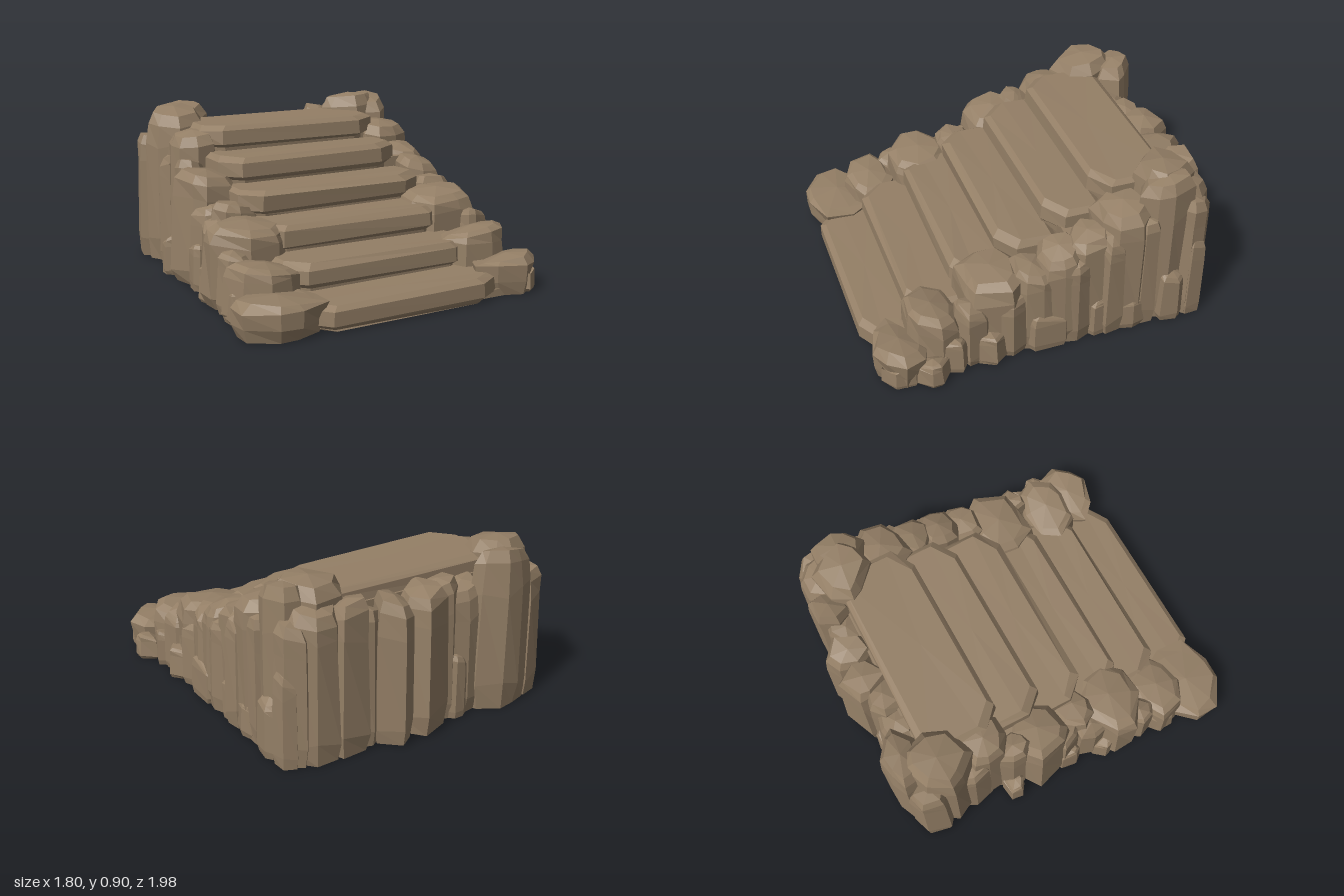
import * as THREE from 'three';

const stone = new THREE.MeshStandardMaterial({ color: 0x947f66, flatShading: true });
stone.name = 'brown stone';

let seed = 7;
const rnd = () => {
  seed = (seed * 16807) % 2147483647;
  return seed / 2147483647 * 2 - 1;
};
const clamp = THREE.MathUtils.clamp;

// Closed solid from equal-length rings of [x, y, z], bottom to top, going clockwise seen from above
function loft(name, rings, lift = 0) {
  const n = rings[0].length, pos = [];
  const tri = (a, b, c) => pos.push(...a, ...b, ...c);
  const centre = ring => [0, 1, 2].map(k => ring.reduce((s, p) => s + p[k], 0) / n);
  const last = rings[rings.length - 1];
  const bottom = centre(rings[0]), top = centre(last);
  top[1] += lift;
  for (let i = 0; i < n; i++) {
    const j = (i + 1) % n;
    for (let r = 0; r < rings.length - 1; r++) {
      const [a, b, c, d] = [rings[r][i], rings[r][j], rings[r + 1][j], rings[r + 1][i]];
      tri(a, c, b);
      tri(a, d, c);
    }
    tri(rings[0][i], rings[0][j], bottom);
    tri(last[j], last[i], top);
  }
  const g = new THREE.BufferGeometry();
  g.setAttribute('position', new THREE.Float32BufferAttribute(pos, 3));
  g.computeVertexNormals();
  const mesh = new THREE.Mesh(g, stone);
  mesh.name = name;
  return mesh;
}

// [height fraction, radius scale] rings: tall rocks flare at the foot, boulders bulge near the top
const columnProfile = [[0, 0.93], [0.14, 1.06], [0.76, 0.98], [0.93, 0.92], [1, 0.7]];
const boulderProfile = [[0, 0.82], [0.35, 0.94], [0.8, 1.04], [1, 0.78]];

// Irregular standing rock with an uneven outline and a chipped, slightly tilted top
function rock(name, profile, sides, [x, z, rx, rz, h]) {
  const turn = rnd() * 3, tiltX = rnd() * 0.025, tiltZ = rnd() * 0.025;
  const outline = Array.from({ length: sides }, (_, i) => ({
    a: turn + (i + rnd() * 0.28) / sides * Math.PI * 2,
    r: 1.02 + rnd() * 0.13,
  }));
  const rings = profile.map(([t, s]) => outline.map(({ a, r }) => {
    const q = r * s * (1 + rnd() * 0.06), c = Math.cos(a), d = Math.sin(a);
    const drop = t > 0.9 ? c * tiltX + d * tiltZ - 0.015 : rnd() * 0.04 * h;
    return [clamp(x + c * rx * q, -0.905, 0.9), t ? h * t + drop : 0, clamp(z + d * rz * q, -0.995, 0.995)];
  }));
  return loft(name, rings, 0.018);
}

// Worn tread with clipped corners and chamfered edges
function tread(front, back, bottom, top) {
  const outline = [[-0.46, front], [-0.56, front - 0.1], [-0.56, back], [0.57, back], [0.57, front - 0.1], [0.44, front - 0.015]];
  const levels = [[bottom, 0.03], [top - 0.12, 0.025], [top - 0.1, 0.003], [top - 0.025, 0.006], [top, 0.035]];
  const mid = (front + back) / 2;
  return loft('step', levels.map(([y, inset]) => outline.map(([x, z]) => [
    x - Math.sign(x) * inset,
    y === 0 ? 0 : y + rnd() * 0.005,
    z - Math.sign(z - mid) * (inset + rnd() * 0.006),
  ])));
}

function block(name, x, z, w, d, h) {
  const m = new THREE.Mesh(new THREE.BoxGeometry(w, h, d), stone);
  m.position.set(x, h / 2, z);
  m.name = name;
  return m;
}

export function createModel() {
  const model = new THREE.Group();
  model.name = 'rockStaircase';

  // Six steps; the upper ones are slabs above a hollow
  const fronts = [0.975, 0.72, 0.465, 0.22, -0.035, -0.29];
  fronts.forEach((f, i) => {
    const top = 0.13 + i * 0.1345;
    const back = i === 5 ? -0.735 : fronts[i + 1] - 0.08;
    model.add(tread(f, back, i < 2 ? 0 : top - 0.19, top));
    // Side walls under the step ends
    const depth = i === 5 ? 0.38 : 0.25;
    for (const s of [-1, 1]) {
      model.add(block('sideWall', s * 0.54, f - 0.09 - depth / 2, 0.18, depth, top - 0.09));
    }
  });
  model.add(block('backWall', 0, -0.65, 1.1, 0.19, 0.72));

  // Low boulders at the foot of the stairs: x, z, radius x, radius z, height
  const boulders = [
    [-0.68, 0.82, 0.225, 0.17, 0.185], [0.68, 0.8, 0.18, 0.13, 0.2],
  ];
  boulders.forEach(p => model.add(rock('footBoulder', boulderProfile, 9, p)));

  // Rocks flanking the stairs
  const flank = [
    // model's right side, front to back
    [-0.65, 0.62, 0.19, 0.15, 0.29], [-0.6, 0.33, 0.21, 0.17, 0.43],
    [-0.57, 0.11, 0.14, 0.11, 0.48], [-0.62, -0.14, 0.18, 0.17, 0.61], [-0.58, -0.43, 0.15, 0.14, 0.78],
    [-0.59, -0.69, 0.175, 0.17, 0.88], [-0.49, -0.84, 0.17, 0.12, 0.87], [-0.66, -0.3, 0.09, 0.11, 0.64],
    // model's left side, front to back
    [0.6, 0.6, 0.21, 0.14, 0.32], [0.58, 0.28, 0.21, 0.17, 0.47],
    [0.68, 0.08, 0.13, 0.12, 0.5], [0.68, -0.06, 0.13, 0.13, 0.58], [0.67, -0.22, 0.13, 0.13, 0.63],
    [0.64, -0.42, 0.16, 0.15, 0.75], [0.56, -0.67, 0.175, 0.16, 0.895], [0.68, -0.64, 0.12, 0.14, 0.88],
    [0.6, -0.79, 0.15, 0.12, 0.8],
  ];
  flank.forEach(p => model.add(rock('flankRock', columnProfile, 8, p)));

  // Upright rocks across the back
  const rear = [
    [-0.28, -0.78, 0.13, 0.11, 0.72], [-0.12, -0.78, 0.13, 0.11, 0.76], [0.0, -0.83, 0.13, 0.15, 0.77],
    [0.18, -0.83, 0.12, 0.13, 0.76], [0.31, -0.79, 0.11, 0.11, 0.72], [0.43, -0.82, 0.13, 0.11, 0.8],
    [0.72, -0.78, 0.08, 0.1, 0.74], [-0.68, -0.79, 0.1, 0.1, 0.72],
  ];
  rear.forEach(p => model.add(rock('backRock', columnProfile, 6, p)));

  // Slim buttress slabs along both sides
  const slabs = [
    [0.72, 0.42, 0.09, 0.1, 0.36], [0.74, 0.2, 0.08, 0.1, 0.38], [0.75, -0.14, 0.07, 0.09, 0.52],
    [0.75, -0.34, 0.07, 0.09, 0.62], [0.75, -0.52, 0.06, 0.09, 0.68], [-0.74, 0.46, 0.08, 0.1, 0.32],
    [-0.7, 0.17, 0.08, 0.1, 0.4], [-0.68, 0.0, 0.08, 0.1, 0.46], [-0.66, -0.54, 0.08, 0.1, 0.65],
  ];
  slabs.forEach(p => model.add(rock('sideSlab', columnProfile, 6, p)));

  // Small stones around the foot
  const stones = [
    [0.82, 0.66, 0.075, 0.08, 0.14], [0.78, 0.8, 0.08, 0.1, 0.13], [0.78, 0.53, 0.06, 0.07, 0.2],
    [0.77, 0.34, 0.07, 0.08, 0.18], [0.76, 0.02, 0.07, 0.11, 0.22], [0.76, -0.28, 0.055, 0.08, 0.26],
    [0.77, -0.44, 0.055, 0.08, 0.2], [0.78, -0.67, 0.06, 0.07, 0.32], [0.76, -0.8, 0.065, 0.08, 0.5],
    [-0.78, 0.59, 0.07, 0.09, 0.2], [-0.76, 0.25, 0.07, 0.08, 0.2], [-0.74, 0.01, 0.06, 0.07, 0.25],
    [-0.75, -0.33, 0.065, 0.06, 0.22], [-0.22, -0.85, 0.08, 0.05, 0.35],
  ];
  stones.forEach(p => model.add(rock('footStone', columnProfile, 6, p)));

  return model;
}
